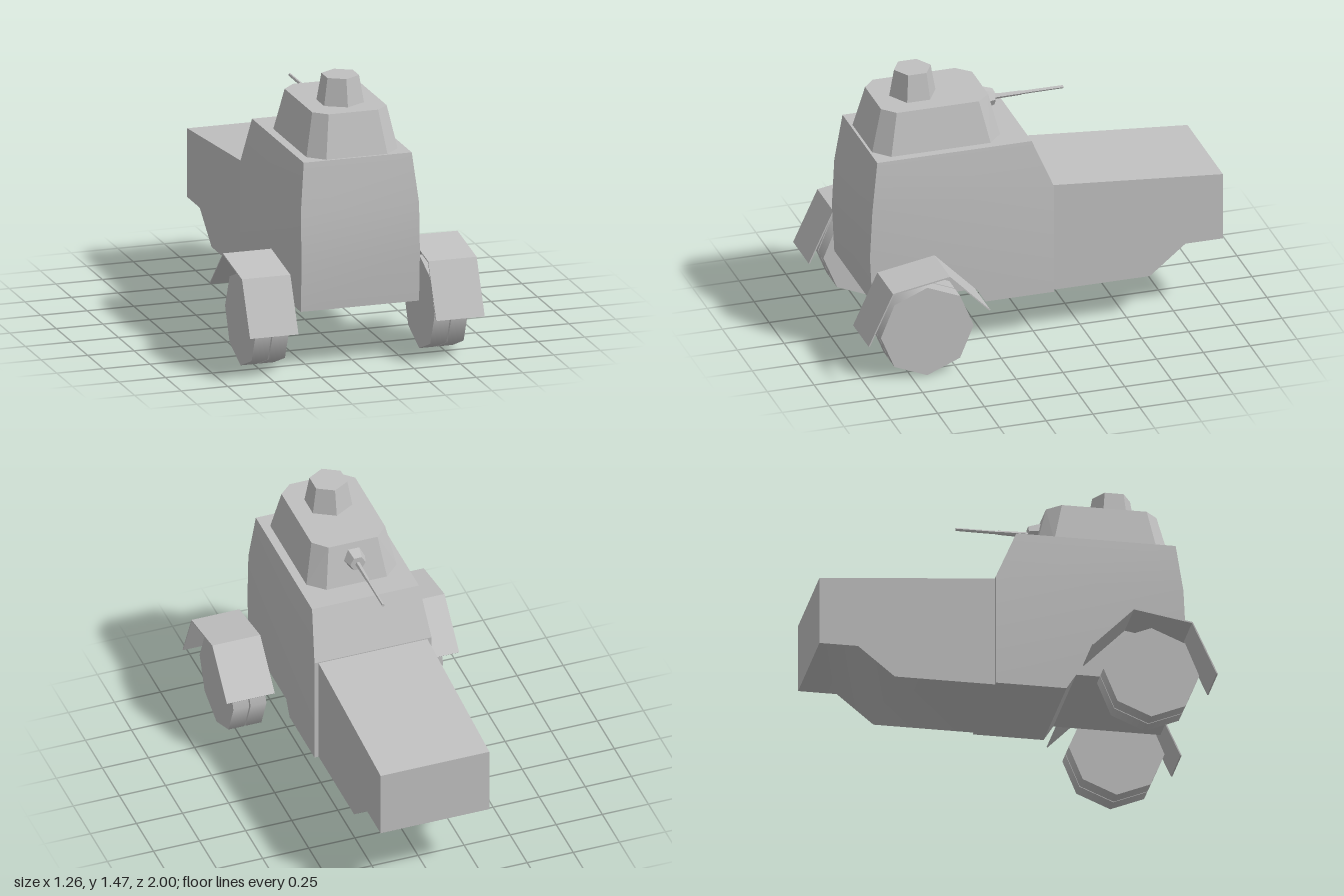
import * as THREE from 'three';
import { mergeGeometries, toCreasedNormals } from 'three/addons/utils/BufferGeometryUtils.js';
import { ConvexGeometry } from 'three/addons/geometries/ConvexGeometry.js';

const grey = new THREE.MeshStandardMaterial({ color: 0xc0c0c0 });
grey.name = 'plain grey';

// Side profile given as [z, y] points, extruded across x and centred on x = 0
function sidePrism(points, width) {
  const shape = new THREE.Shape(points.map(([z, y]) => new THREE.Vector2(z, y)));
  const geo = new THREE.ExtrudeGeometry(shape, { depth: width, bevelEnabled: false });
  return geo.rotateY(-Math.PI / 2).translate(width / 2, 0, 0);
}

// Chamfered rectangle at height y: half width, narrow half width, z limits
function chamferedRing(y, wide, narrow, back, backSide, frontSide, front) {
  const ring = [];
  for (const s of [-1, 1]) {
    ring.push([s * narrow, back], [s * wide, backSide], [s * wide, frontSide], [s * narrow, front]);
  }
  return ring.map(([x, z]) => new THREE.Vector3(x, y, z));
}

// Six-sided tapered rod pointing backwards along -z
function backwardRod(rTip, rBase, zTip, zBase, y) {
  const geo = new THREE.CylinderGeometry(rTip, rBase, zBase - zTip, 6, 1, false, Math.PI / 6);
  geo.rotateX(-Math.PI / 2).translate(0, y, (zTip + zBase) / 2);
  return toCreasedNormals(geo, 0.5);
}

export function createModel() {
  const model = new THREE.Group();
  model.name = 'armouredCar';
  const add = (name, geo, parent = model) => {
    const mesh = new THREE.Mesh(geo, grey);
    mesh.name = name;
    parent.add(mesh);
    return mesh;
  };

  // Cabin: straight lower body, upper body narrowing to the roof
  const lower = sidePrism([
    [-0.09, 0.24], [0.275, 0.24], [0.325, 0.32], [0.88, 0.32],
    [0.893, 0.58], [0.88, 0.84], [-0.09, 0.84],
  ], 0.635);
  const upper = sidePrism([[-0.09, 0.84], [0.88, 0.84], [0.845, 1.1], [0.02, 1.1]], 0.635);
  const pos = upper.attributes.position;
  for (let i = 0; i < pos.count; i++) {
    if (pos.getY(i) > 1) pos.setX(i, Math.sign(pos.getX(i)) * 0.29);
  }
  add('cabin', toCreasedNormals(mergeGeometries([lower, upper]), 0.4));

  // Long sloping rear body
  add('rearBody', toCreasedNormals(sidePrism([
    [-0.09, 0.24], [-0.09, 0.835], [-1, 0.76], [-1, 0.395], [-0.8, 0.395], [-0.61, 0.24],
  ], 0.59), 0.7));

  // Turret, cupola and gun
  const turret = new THREE.Group();
  turret.name = 'turret';
  model.add(turret);
  add('turretBody', new ConvexGeometry([
    ...chamferedRing(1.1, 0.245, 0.164, 0.148, 0.225, 0.755, 0.832),
    ...chamferedRing(1.322, 0.2, 0.133, 0.203, 0.273, 0.712, 0.775),
  ]), turret);
  const cupola = new THREE.CylinderGeometry(0.098, 0.124, 0.145, 6).translate(0, 1.3925, 0.565);
  add('cupola', toCreasedNormals(cupola, 0.5), turret);
  add('gunMount', backwardRod(0.042, 0.064, 0.132, 0.205, 1.235), turret);
  add('gunBreech', backwardRod(0.011, 0.014, -0.02, 0.135, 1.233), turret);
  add('gunBarrel', backwardRod(0.008, 0.009, -0.24, -0.02, 1.233), turret);

  // Twin wheels and folded mudguard on each side
  const bend = [[1, 0.24], [0.87, 0.52], [0.565, 0.572], [0.35, 0.352]];
  const underside = [[0.354, 0.348], [0.566, 0.564], [0.866, 0.513], [0.993, 0.24]];
  for (const s of [1, -1]) {
    const side = new THREE.Group();
    side.name = s > 0 ? 'leftWheelAssembly' : 'rightWheelAssembly';
    model.add(side);
    for (const [name, x] of [['innerWheel', 0.433], ['outerWheel', 0.526]]) {
      const wheel = new THREE.CylinderGeometry(0.248, 0.248, 0.086, 8);
      add(name, wheel.rotateZ(Math.PI / 2).translate(s * x, 0.248, 0.667), side);
    }
    const guard = sidePrism([...bend, ...underside], 0.26).translate(s * 0.5, 0, 0);
    add('mudguard', toCreasedNormals(guard, 0.4), side);
  }
  return model;
}
